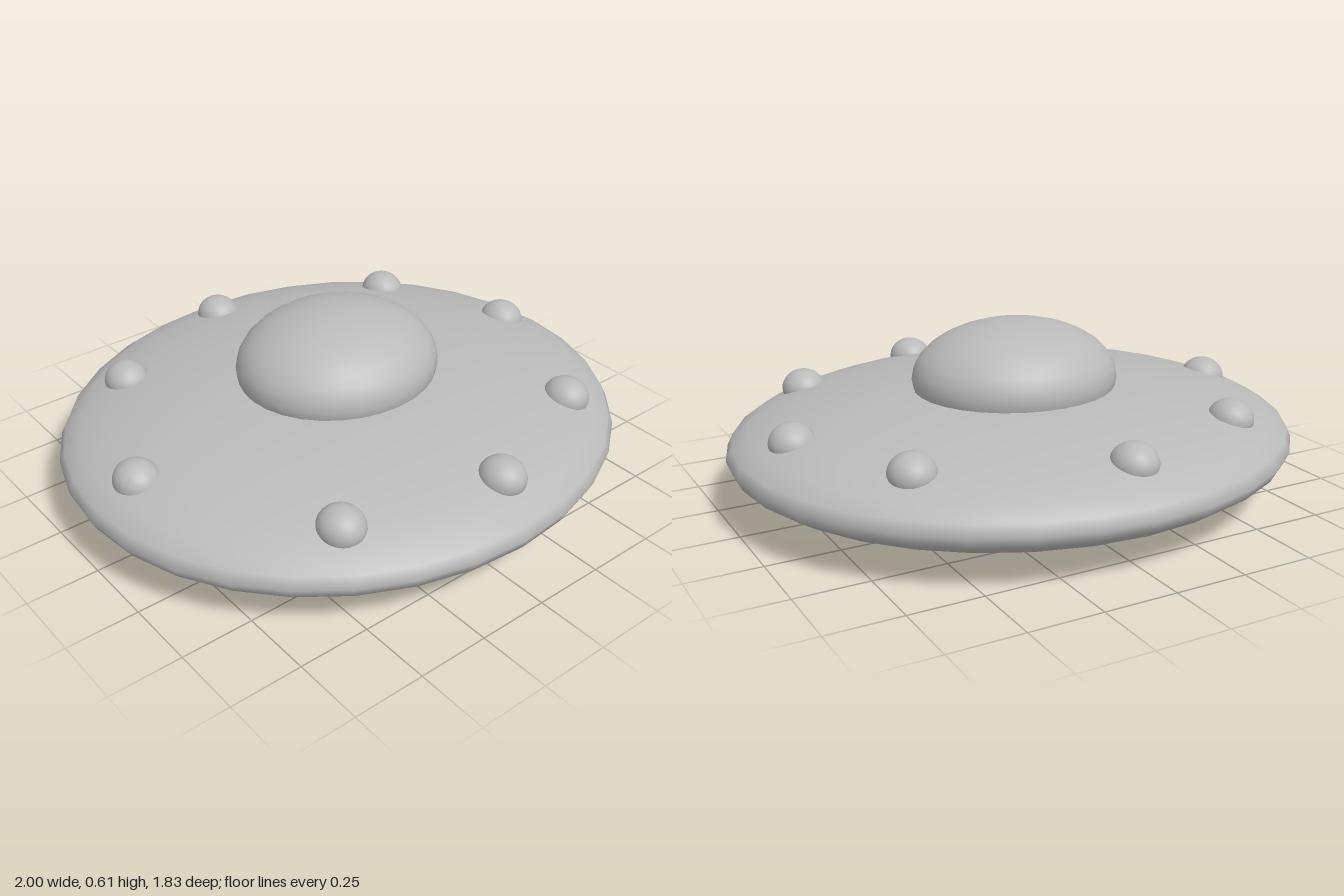
import * as THREE from 'three';

export function createModel() {
  const group = new THREE.Group();
  const hull = new THREE.MeshStandardMaterial({ color: 0xbababa });
  hull.name = 'hull grey';

  // Squashed sphere with its scale baked into the geometry
  function ellipsoid(name, [rx, ry, rz], [x, y, z], segments, rings) {
    const geometry = new THREE.SphereGeometry(1, segments, rings);
    geometry.scale(rx, ry, rz);
    const mesh = new THREE.Mesh(geometry, hull);
    mesh.name = name;
    mesh.position.set(x, y, z);
    group.add(mesh);
  }

  // Lens-shaped body and cabin dome
  ellipsoid('saucerBody', [1, 0.195, 0.917], [0, 0.195, 0], 32, 16);
  ellipsoid('dome', [0.363, 0.197, 0.332], [0, 0.408, -0.016], 32, 16);

  // Ring of lamps, slightly irregular: x, y, z
  const lamps = [
    [-0.03, 0.304, -0.718], [-0.557, 0.304, -0.514], [0.6, 0.304, -0.477],
    [-0.829, 0.285, 0.004], [0.814, 0.293, -0.017],
    [0.58, 0.299, 0.532], [-0.484, 0.299, 0.607], [0.064, 0.304, 0.735],
  ];
  lamps.forEach((position, i) =>
    ellipsoid(`lamp${i + 1}`, [0.077, 0.07, 0.082], position, 32, 16));

  return group;
}
